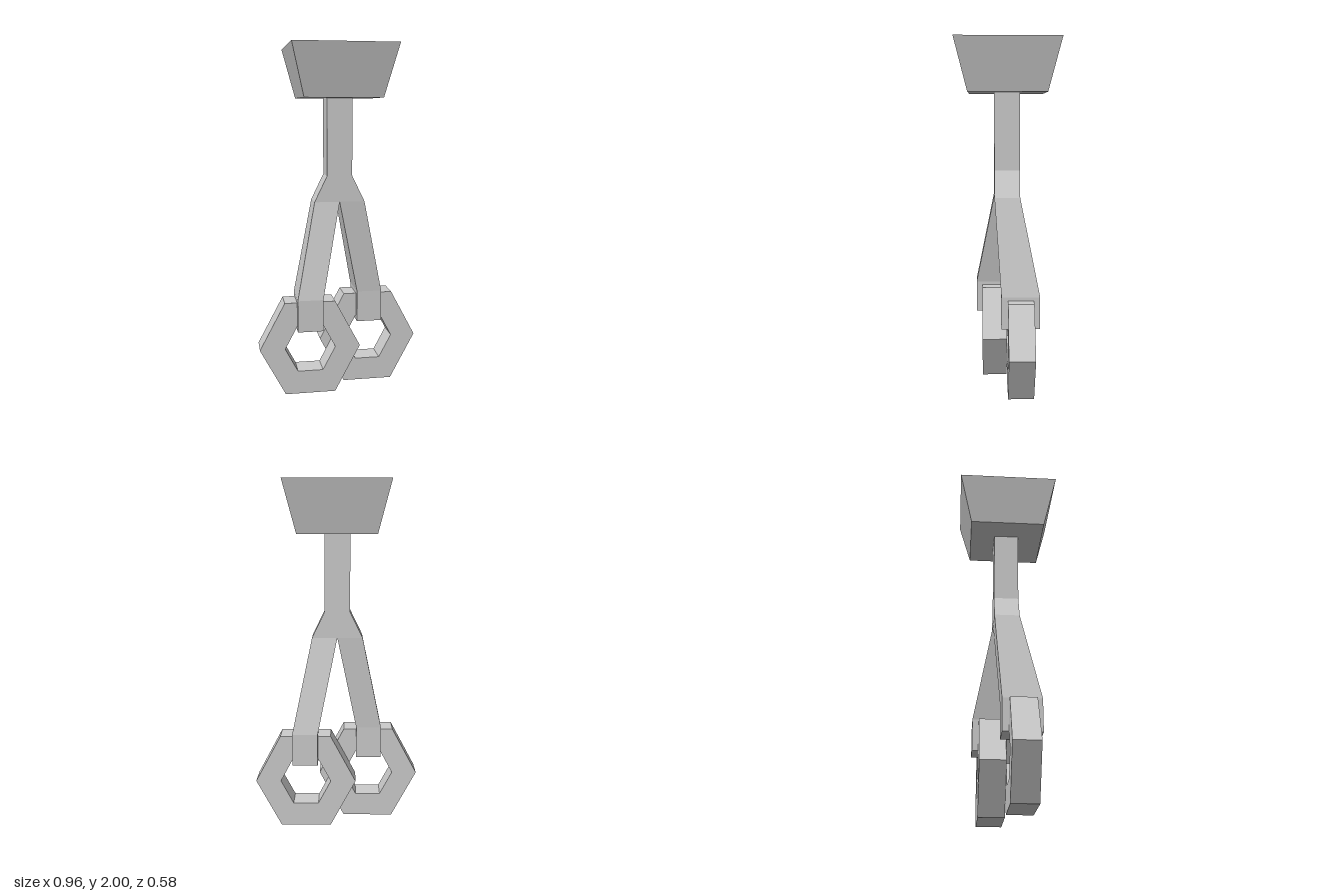
import * as THREE from 'three';

const material = new THREE.MeshStandardMaterial({ color: 0xcccccc, flatShading: true });

function addMesh(parent, name, geometry) {
  const mesh = new THREE.Mesh(geometry, material);
  mesh.name = name;
  parent.add(mesh);
  return mesh;
}

// Joins rectangular sections [y, x0, x1, z0, z1], listed from bottom to top
function loft(sections, capBottom = false, capTop = false) {
  const rings = sections.map(([y, x0, x1, z0, z1]) =>
    [[x0, y, z1], [x1, y, z1], [x1, y, z0], [x0, y, z0]]);
  const points = [];
  const quad = (a, b, c, d) => points.push(...a, ...b, ...c, ...a, ...c, ...d);
  for (let s = 0; s < rings.length - 1; s++) {
    const low = rings[s], high = rings[s + 1];
    for (let i = 0; i < 4; i++) {
      const j = (i + 1) % 4;
      quad(low[i], low[j], high[j], high[i]);
    }
  }
  if (capBottom) quad(...[...rings[0]].reverse());
  if (capTop) quad(...rings[rings.length - 1]);
  const geometry = new THREE.BufferGeometry();
  geometry.setAttribute('position', new THREE.Float32BufferAttribute(points, 3));
  geometry.computeVertexNormals();
  return geometry;
}

// Hexagon with points at the sides; height is half the flat-to-flat size
function hexagon(width, height) {
  return [[1, 0], [0.5, 1], [-0.5, 1], [-1, 0], [-0.5, -1], [0.5, -1]]
    .map(([x, y]) => new THREE.Vector2(x * width, y * height));
}

function ringGeometry() {
  const shape = new THREE.Shape(hexagon(0.293, 0.275));
  shape.holes.push(new THREE.Path(hexagon(0.147, 0.138)));
  return new THREE.ExtrudeGeometry(shape, { depth: 0.146, bevelEnabled: false });
}

export function createModel() {
  const model = new THREE.Group();
  model.name = 'forkedHanger';

  // Tapered mounting block
  addMesh(model, 'mountingBlock', loft([
    [1.71, -0.22, 0.22, -0.22, 0.22],
    [2, -0.292, 0.292, -0.292, 0.292],
  ], true, true));

  // Square stem flaring out to the fork
  addMesh(model, 'stem', loft([
    [1.12, -0.146, 0.146, -0.073, 0.073],
    [1.27, -0.073, 0.073, -0.073, 0.073],
    [1.71, -0.073, 0.073, -0.073, 0.073],
  ]));

  // Two arms, each holding a hexagonal ring, turned half a circle apart
  ['right', 'left'].forEach((side, i) => {
    const arm = new THREE.Group();
    arm.name = side + 'Arm';
    arm.rotation.y = i * Math.PI;
    addMesh(arm, side + 'Leg', loft([
      [0.385, -0.26, -0.113, -0.036, 0.182],
      [0.57, -0.26, -0.113, -0.036, 0.182],
      [1.12, -0.146, 0, -0.073, 0.073],
    ], true));
    addMesh(arm, side + 'Ring', ringGeometry()).position.set(-0.185, 0.275, 0);
    model.add(arm);
  });

  return model;
}
